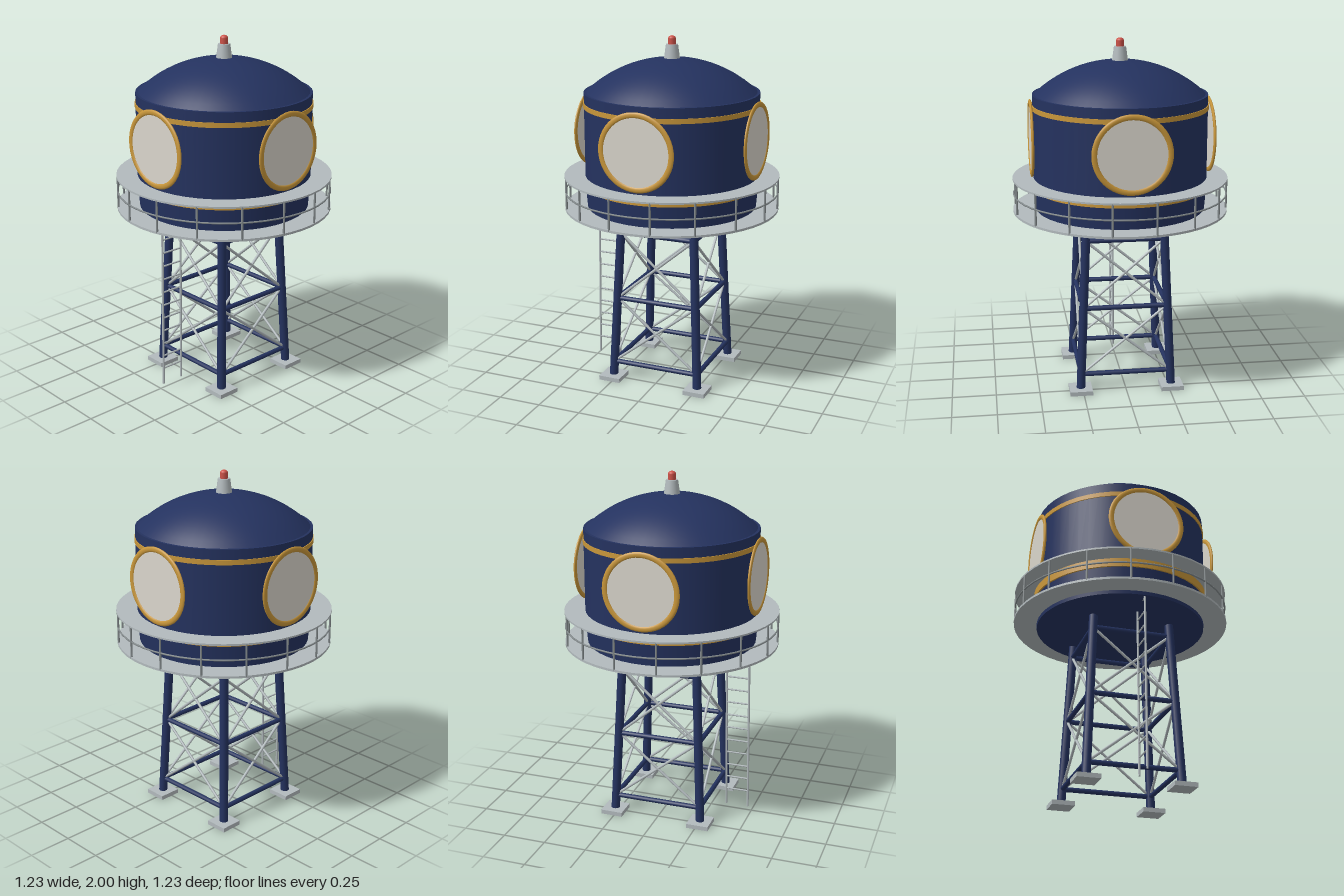
import * as THREE from 'three';

const mat = (name, color, side = THREE.FrontSide) => {
  const m = new THREE.MeshStandardMaterial({ color, side });
  m.name = name;
  return m;
};

export function createModel() {
  const navy = mat('navy paint', 0x24325f);
  const gold = mat('gold trim', 0xc8963a);
  const cream = mat('cream panel', 0xdad6cc);
  const grey = mat('galvanised grey', 0xb2babd);
  const steel = mat('dark steel', 0x858c8e);
  const red = mat('beacon red', 0xcc5248);

  const model = new THREE.Group();
  model.name = 'waterTower';

  const add = (name, geo, material, parent = model) => {
    const m = new THREE.Mesh(geo, material);
    m.name = name;
    parent.add(m);
    return m;
  };
  const group = (name, parent = model) => {
    const g = new THREE.Group();
    g.name = name;
    parent.add(g);
    return g;
  };
  const v = (x, y, z) => new THREE.Vector3(x, y, z);

  // Round bar between two points
  const bar = (name, a, b, r, material, parent, sides = 8) => {
    const d = b.clone().sub(a);
    const m = add(name, new THREE.CylinderGeometry(r, r, d.length(), sides), material, parent);
    m.position.copy(a).add(b).multiplyScalar(0.5);
    m.quaternion.setFromUnitVectors(v(0, 1, 0), d.normalize());
    return m;
  };
  // Solid ring with a rectangular section
  const ring = (name, r0, r1, y0, y1, material, parent) => {
    const pts = [[r0, y0], [r1, y0], [r1, y1], [r0, y1], [r0, y0]];
    // each face is its own lathe so the edges stay sharp
    const g = group(name, parent);
    for (let i = 0; i < 4; i++) {
      const pair = [pts[i], pts[i + 1]].map(p => new THREE.Vector2(...p));
      add(name + 'Face', new THREE.LatheGeometry(pair, 48), material, g);
    }
    return g;
  };
  // Spherical cap profile from the rim (r, y) to the axis, h high (negative hangs down)
  const cap = (name, r, y, h, parent) => {
    const R = (r * r + h * h) / (2 * Math.abs(h)), s = Math.sign(h), pts = [];
    for (let i = 0; i <= 14; i++) {
      const x = r * (1 - i / 14);
      pts.push(new THREE.Vector2(x, y + h - s * (R - Math.sqrt(R * R - x * x))));
    }
    if (s < 0) pts.reverse();
    return add(name, new THREE.LatheGeometry(pts, 48), navy, parent);
  };

  // Tank
  const tank = group('tank');
  add('tankWall', new THREE.CylinderGeometry(0.495, 0.495, 0.53, 48), navy, tank).position.y = 1.425;
  add('tankSkirt', new THREE.CylinderGeometry(0.495, 0.482, 0.16, 48), navy, tank).position.y = 1.08;
  cap('tankRoof', 0.48, 1.69, 0.187, tank);
  cap('tankBottom', 0.475, 1.0, -0.065, tank);
  ring('upperBand', 0.48, 0.5, 1.607, 1.634, gold, tank);
  ring('lowerBand', 0.48, 0.504, 1.157, 1.205, gold, tank);

  // Round panels on the four sides
  for (let i = 0; i < 4; i++) {
    const panel = group('roundPanel', tank);
    panel.rotation.y = i * Math.PI / 2;
    const face = add('panelFace', new THREE.CylinderGeometry(0.2, 0.2, 0.009, 48), cream, panel);
    face.rotation.x = Math.PI / 2;
    face.position.set(0, 1.445, 0.504);
    const rim = add('panelRim', new THREE.TorusGeometry(0.203, 0.016, 10, 48), gold, panel);
    rim.scale.z = 0.5;
    rim.position.set(0, 1.445, 0.506);
  }

  // Vent and beacon on the roof
  add('roofVent', new THREE.CylinderGeometry(0.034, 0.045, 0.08, 24), grey).position.y = 1.912;
  add('beaconBase', new THREE.CylinderGeometry(0.022, 0.022, 0.035, 16), red).position.y = 1.966;
  const lamp = add('beaconTop', new THREE.SphereGeometry(0.022, 16, 8, 0, Math.PI * 2, 0, Math.PI / 2), red);
  lamp.scale.y = 0.75;
  lamp.position.y = 1.9835;

  // Walkway and railing
  const walkway = group('walkway');
  ring('lowerDeck', 0.47, 0.615, 1.02, 1.033, grey, walkway);
  ring('upperDeck', 0.48, 0.615, 1.205, 1.215, grey, walkway);
  const mid = add('middleRail', new THREE.TorusGeometry(0.61, 0.005, 6, 48), steel, walkway);
  mid.rotation.x = Math.PI / 2;
  mid.position.y = 1.122;
  for (let i = 0; i < 16; i++) {
    const a = (i + 0.5) * Math.PI / 8, x = 0.609 * Math.sin(a), z = 0.609 * Math.cos(a);
    bar('railPost', v(x, 1.025, z), v(x, 1.21, z), 0.006, steel, walkway, 6);
  }

  // Tower frame: each turn makes one leg, its footing and one braced side
  const tower = group('tower');
  const spread = y => 0.264 - 0.045 * y;
  const levels = [0.105, 0.5, 0.895];
  for (let i = 0; i < 4; i++) {
    const side = group('towerSide', tower);
    side.rotation.y = i * Math.PI / 2;
    const at = (s, y) => v(s * spread(y), y, spread(y));
    bar('leg', at(1, 0.015), at(1, 0.975), 0.025, navy, side, 16);
    add('footing', new THREE.BoxGeometry(0.13, 0.025, 0.13), grey, side).position.set(0.264, 0.0125, 0.264);
    levels.forEach((y, k) => {
      bar('crossBeam', at(-1, y), at(1, y), 0.014, navy, side, 10);
      if (k === 0) return;
      const low = levels[k - 1];
      bar('brace', at(-1, low), at(1, y), 0.008, grey, side);
      bar('brace', at(1, low), at(-1, y), 0.008, grey, side);
    });
  }

  // Ladder on the right side
  const ladder = group('ladder');
  const lean = y => 0.012 * y;
  for (const x of [-0.477, -0.345])
    bar('ladderRail', v(x, 0.025, 0), v(x + lean(1.025), 1.025, 0), 0.0065, grey, ladder);
  for (let i = 0; i < 12; i++) {
    const y = 0.124 + 0.079 * i;
    bar('rung', v(-0.477 + lean(y), y, 0), v(-0.345 + lean(y), y, 0), 0.005, grey, ladder, 6);
  }

  return model;
}
